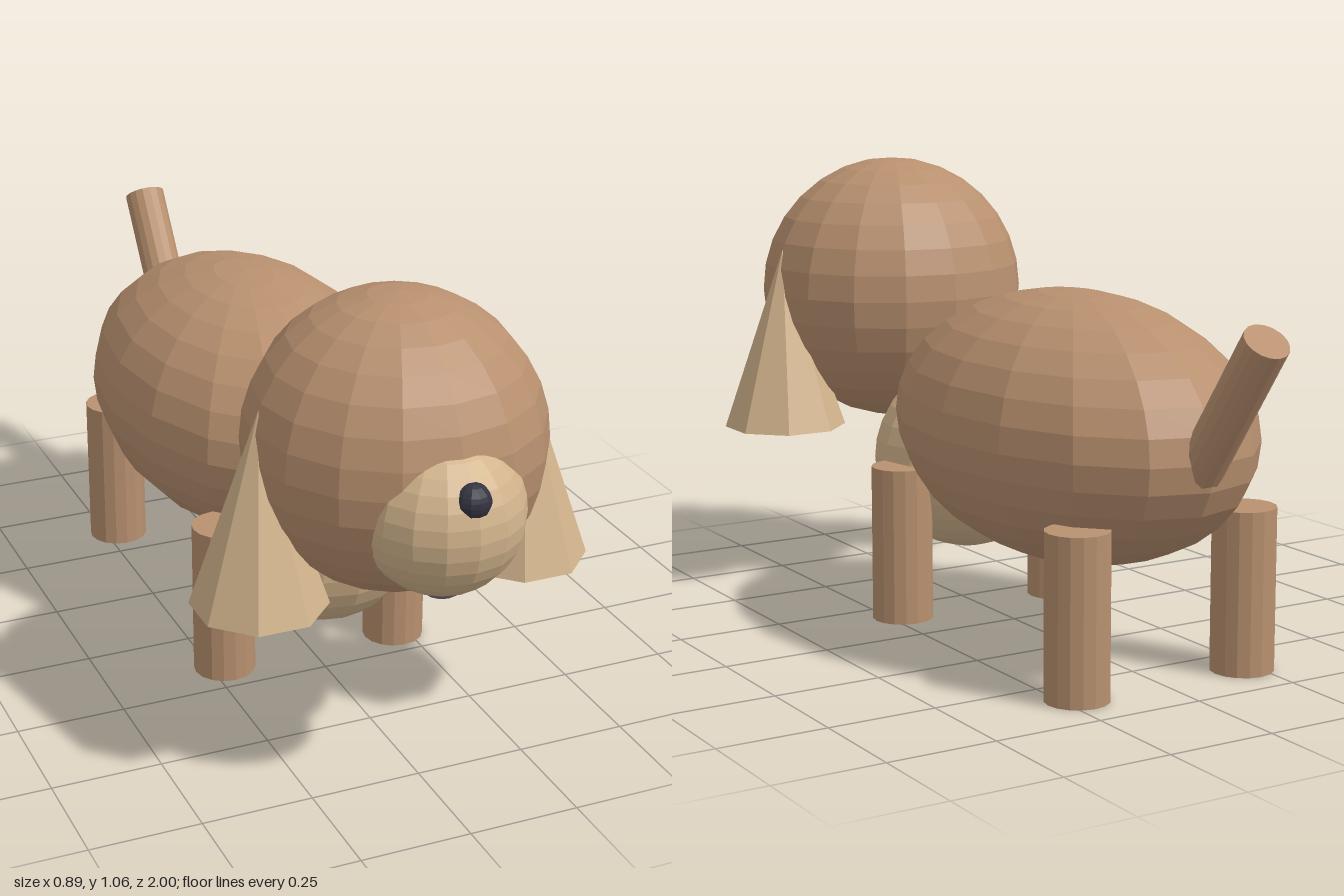
import * as THREE from 'three';

const paint = (color) => new THREE.MeshStandardMaterial({ color, flatShading: true });

export function createModel() {
  const dog = new THREE.Group();
  dog.name = 'dog';
  const brown = paint(0xb8906f);
  const tan = paint(0xd2b48c);
  const dark = paint(0x333340);
  const mauve = paint(0x8b6b7b);

  const add = (name, geometry, material, x, y, z) => {
    const mesh = new THREE.Mesh(geometry, material);
    mesh.name = name;
    mesh.position.set(x, y, z);
    dog.add(mesh);
    return mesh;
  };
  const ball = (r, segments = 16) => new THREE.SphereGeometry(r, segments, segments);

  // Stretched body and pale chest
  add('body', ball(1), brown, 0, 0.515, -0.25).scale.set(0.345, 0.305, 0.54);
  add('chest', ball(0.225), tan, 0, 0.365, 0.22);

  // Head and face
  add('head', ball(0.326), brown, 0, 0.734, 0.595);
  add('muzzle', ball(0.175), tan, 0, 0.665, 0.821);
  add('nose', ball(0.04, 12), dark, 0, 0.743, 0.952);
  add('mouth', ball(0.07, 12), mauve, 0, 0.545, 0.83);

  // Ears and legs on both sides
  for (const side of [1, -1]) {
    const label = side > 0 ? 'left' : 'right';
    const ear = add(label + 'Ear', new THREE.ConeGeometry(0.149, 0.44, 8), tan, side * 0.307, 0.625, 0.595);
    ear.rotation.y = Math.PI / 8;
    for (const [end, z] of [['Front', 0.155], ['Back', -0.61]]) {
      add(label + end + 'Leg', new THREE.CylinderGeometry(0.072, 0.072, 0.37, 16), brown, side * 0.217, 0.185, z);
    }
  }

  // Tail leaning backwards
  const tail = add('tail', new THREE.CylinderGeometry(0.05, 0.05, 0.4, 16), brown, 0, 0.635, -0.841);
  tail.rotation.x = -THREE.MathUtils.degToRad(36);

  return dog;
}
